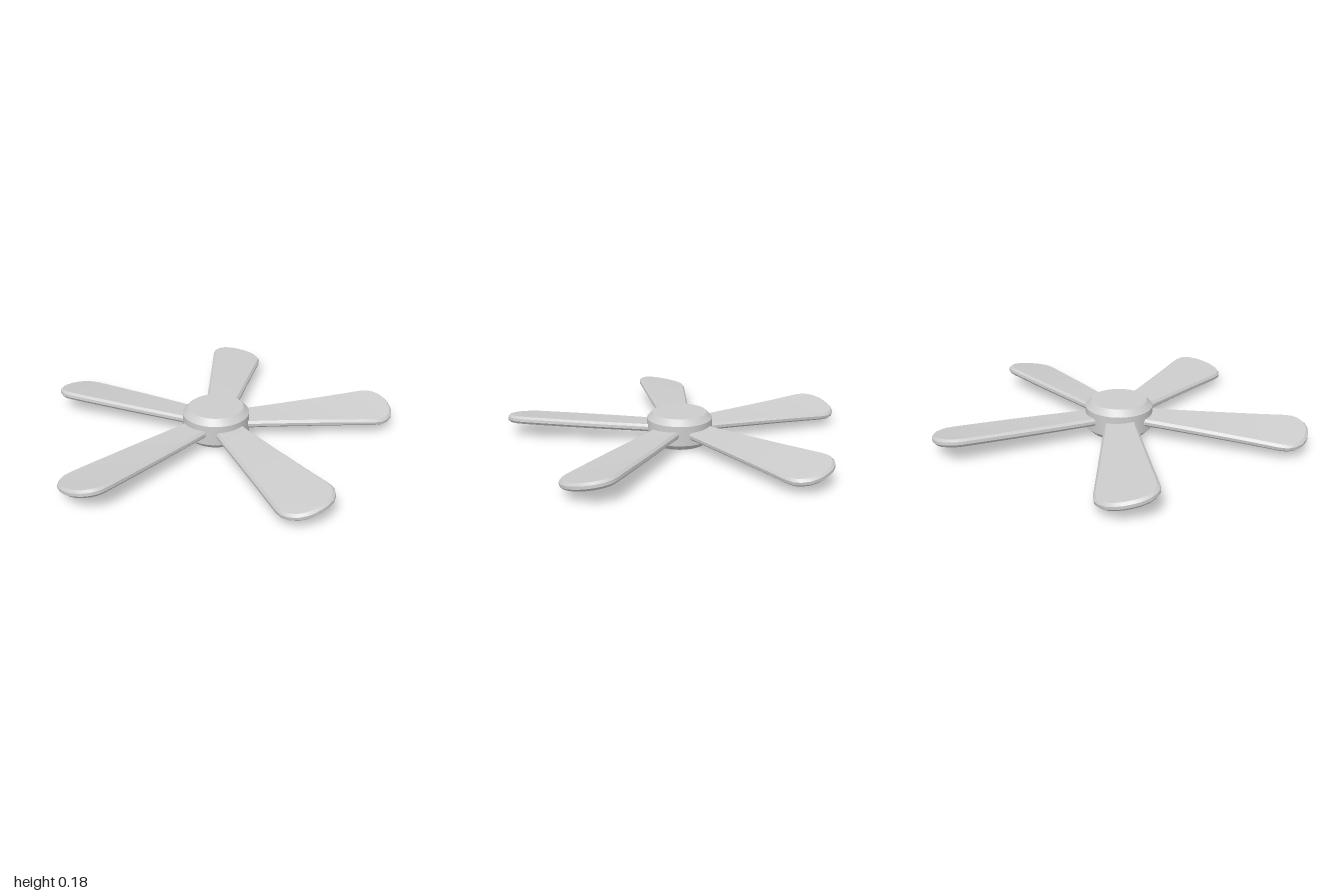
import * as THREE from 'three';
import { toCreasedNormals, mergeVertices } from 'three/addons/utils/BufferGeometryUtils.js';

const BLADES = 5;
const MID_Y = 0.09;
const BEVEL = 0.013;
const HALF_THICK = 0.021;

// Half outline of a blade: [distance from hub axis, half width]
const OUTLINE = [
  [0.12, 0.081], [0.25, 0.093], [0.4, 0.107], [0.55, 0.121], [0.7, 0.135], [0.82, 0.147],
  [0.9, 0.155], [0.945, 0.152], [0.98, 0.134], [1.012, 0.1], [1.03, 0.055], [1.035, 0.02],
];

function bladeGeometry() {
  // Closed loop: out along -z, back along +z
  const loop = [
    ...OUTLINE.map(([r, w]) => new THREE.Vector2(r, -w)),
    ...OUTLINE.slice().reverse().map(([r, w]) => new THREE.Vector2(r, w)),
  ];
  const n = loop.length;
  const inset = loop.map((p, i) => {
    const t = loop[(i + 1) % n].clone().sub(loop[(i + n - 1) % n]).normalize();
    return new THREE.Vector2(p.x - t.y * BEVEL, p.y + t.x * BEVEL);
  });

  // Four levels give the bevelled rim; the pitch grows towards the tip
  const levels = [
    [inset, -HALF_THICK], [loop, -HALF_THICK + BEVEL],
    [loop, HALF_THICK - BEVEL], [inset, HALF_THICK],
  ];
  const positions = [];
  for (const [ring, y] of levels) {
    for (const p of ring) {
      const pitch = THREE.MathUtils.degToRad(THREE.MathUtils.mapLinear(p.x, 0.15, 0.9, 2.5, 10));
      const c = Math.cos(pitch), s = Math.sin(pitch);
      positions.push(p.x, y * c - p.y * s, y * s + p.y * c);
    }
  }

  const index = [];
  const quad = (a, b, c, d) => index.push(a, b, c, a, c, d);
  // Rim
  for (let l = 0; l < 3; l++) {
    for (let i = 0; i < n; i++) {
      const j = (i + 1) % n;
      quad(l * n + i, (l + 1) * n + i, (l + 1) * n + j, l * n + j);
    }
  }
  // Upper and lower faces, as strips across the blade
  const top = 3 * n;
  for (let i = 0; i < n / 2 - 1; i++) {
    const k = n - 1 - i;
    quad(top + i, top + k, top + k - 1, top + i + 1);
    quad(i, i + 1, k - 1, k);
  }

  const geometry = new THREE.BufferGeometry();
  geometry.setAttribute('position', new THREE.Float32BufferAttribute(positions, 3));
  geometry.setIndex(index);
  return toCreasedNormals(geometry, Math.PI / 6);
}

function hubGeometry() {
  const profile = [[0, 0], [0.155, 0], [0.188, 0.032], [0.188, 0.146], [0.155, 0.18], [0, 0.18]];
  const lathe = new THREE.LatheGeometry(profile.map(([r, y]) => new THREE.Vector2(r, y)), 40);
  lathe.deleteAttribute('uv');
  lathe.deleteAttribute('normal');
  return toCreasedNormals(mergeVertices(lathe), Math.PI / 6);
}

export function createModel() {
  const material = new THREE.MeshStandardMaterial({ color: 0xcccccc });
  const fan = new THREE.Group();
  fan.name = 'fan';
  fan.position.x = -0.08;

  const hub = new THREE.Mesh(hubGeometry(), material);
  hub.name = 'hub';
  fan.add(hub);

  // Blades evenly spaced around the hub
  const geometry = bladeGeometry();
  for (let i = 0; i < BLADES; i++) {
    const blade = new THREE.Mesh(geometry, material);
    blade.name = `blade${i + 1}`;
    blade.position.y = MID_Y;
    blade.rotation.y = (i / BLADES) * Math.PI * 2;
    fan.add(blade);
  }

  const model = new THREE.Group();
  model.name = 'ceilingFanRotor';
  model.add(fan);
  return model;
}
